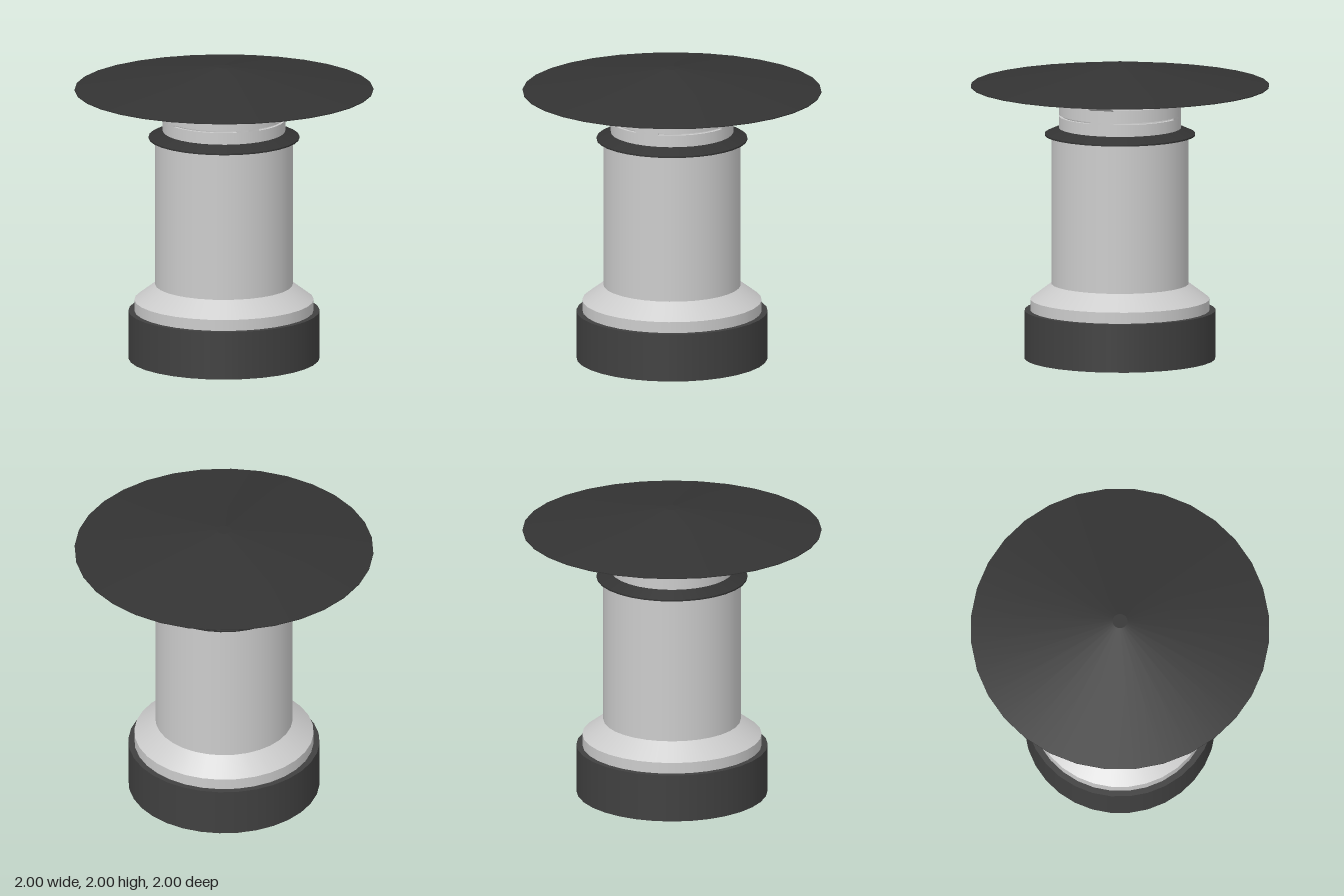
import * as THREE from 'three';
import { mergeGeometries } from 'three/addons/utils/BufferGeometryUtils.js';

const SIDES = 32;
const steel = new THREE.MeshStandardMaterial({ color: 0xcccccc });
const dark = new THREE.MeshStandardMaterial({ color: 0x333333 });
const rubber = new THREE.MeshStandardMaterial({ color: 0x404040 });

// Turned part: every profile step is its own band, so bands are smooth around and sharp between.
// Profiles run up the outside and down the inside.
function turned(name, profile, material) {
  const bands = [];
  for (let i = 0; i < profile.length - 1; i++) {
    const pair = [profile[i], profile[i + 1]].map(([r, y]) => new THREE.Vector2(r, y));
    bands.push(new THREE.LatheGeometry(pair, SIDES));
  }
  const mesh = new THREE.Mesh(mergeGeometries(bands), material);
  mesh.name = name;
  return mesh;
}

export function createModel() {
  const model = new THREE.Group();
  model.name = 'chimneyCowl';

  const bore = 0.39, neck = 0.41;
  const slotLow = 1.64, slotHigh = 1.652, neckTop = 1.737;

  // Base ring, with the pipe opening through it
  model.add(turned('baseRing', [[bore, 0], [0.64, 0], [0.64, 0.325], [0.59, 0.325]], rubber));

  // Flared shoulder, main pipe and inner bore
  model.add(turned('pipe', [
    [0.60, 0.32], [0.60, 0.40], [0.46, 0.505], [0.46, 1.515],
    [neck, 1.515], [neck, slotLow], [bore, slotLow], [bore, 0],
  ], steel));

  // Rain skirt around the neck
  model.add(turned('rainSkirt', [
    [neck, 1.51], [0.505, 1.51], [0.505, 1.52], [0.415, 1.56], [neck, 1.56],
  ], dark));

  // Upper neck ring above the vent slots
  model.add(turned('neckRing', [
    [bore, slotHigh], [neck, slotHigh], [neck, neckTop], [bore, neckTop], [bore, slotHigh],
  ], steel));

  // Bridges between the slots, one segment to either side of each axis
  const step = (Math.PI * 2) / SIDES;
  const arc = (r, angles) => angles.map((a) => new THREE.Vector2(r * Math.cos(a), r * Math.sin(a)));
  const sector = new THREE.Shape([
    ...arc(neck, [-step, 0, step]), ...arc(bore, [step, 0, -step]),
  ]);
  const bridgeGeo = new THREE.ExtrudeGeometry(sector, { depth: slotHigh - slotLow, bevelEnabled: false });
  bridgeGeo.rotateX(-Math.PI / 2).translate(0, slotLow, 0);

  // Straps sloping out from the neck to the underside of the cap
  const from = new THREE.Vector2(0.40, 1.733), to = new THREE.Vector2(0.797, 1.873);
  const run = to.clone().sub(from);
  const strapGeo = new THREE.BoxGeometry(run.length(), 0.007, 0.16);
  strapGeo.rotateZ(run.angle());
  strapGeo.translate((from.x + to.x) / 2, (from.y + to.y) / 2, 0);

  for (let i = 0; i < 4; i++) {
    const bridge = new THREE.Mesh(bridgeGeo, steel);
    bridge.name = 'slotBridge' + (i + 1);
    const strap = new THREE.Mesh(strapGeo, steel);
    strap.name = 'capStrap' + (i + 1);
    for (const part of [bridge, strap]) {
      part.rotation.y = (i * Math.PI) / 2;
      model.add(part);
    }
  }

  // Hollow conical rain cap with a small flat top
  model.add(turned('rainCap', [
    [0, 1.992], [0.05, 1.992], [0.99, 1.84], [1, 1.84], [1, 1.846], [0.05, 2], [0, 2],
  ], dark));

  return model;
}
